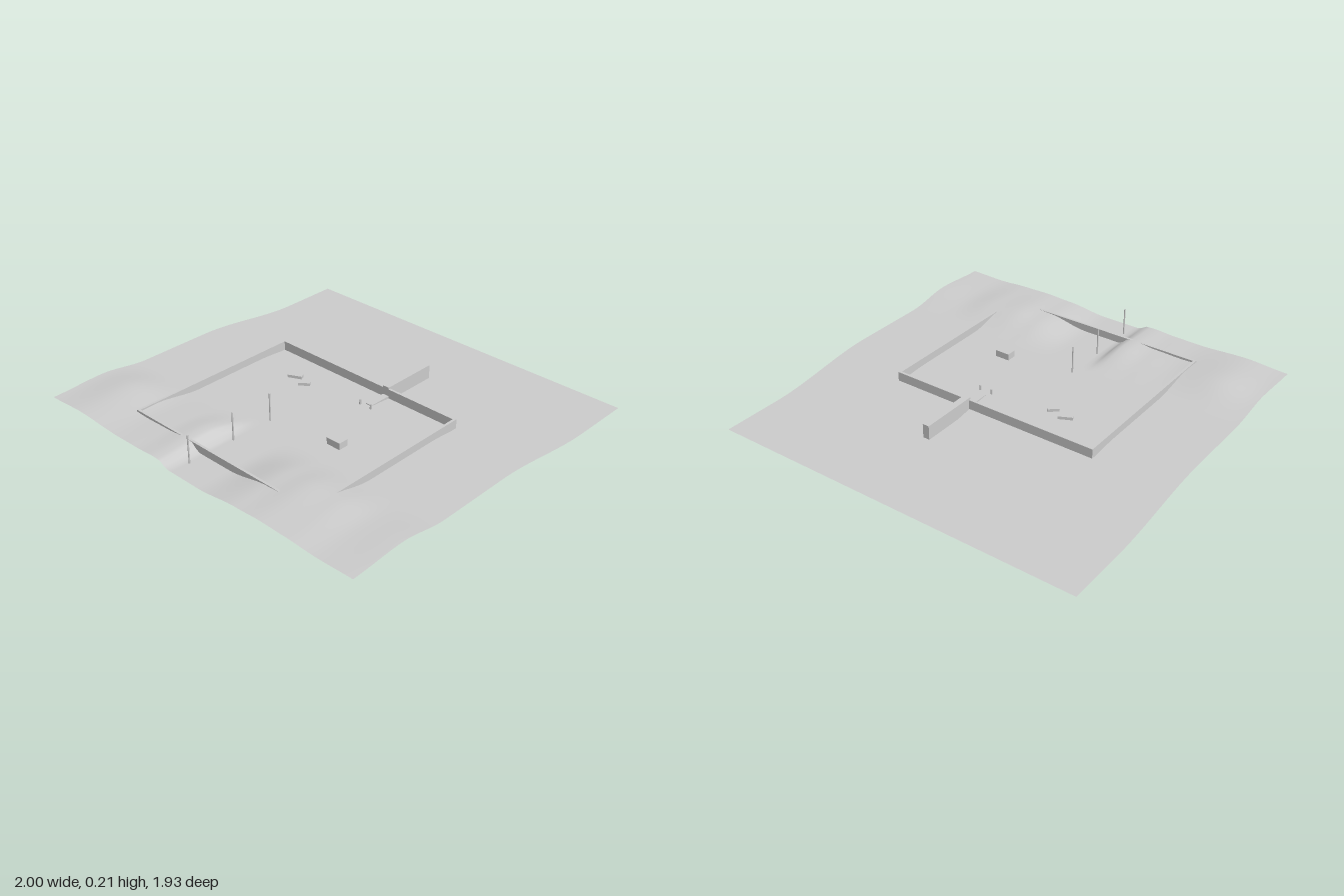
import * as THREE from 'three';

const GROUND = 0.06; // level of the plain
const material = new THREE.MeshStandardMaterial({ color: 0xcccccc, side: THREE.DoubleSide });
const smooth = THREE.MathUtils.smoothstep;

// Points [position, value] joined by smooth steps
function blend(points, t) {
  for (let i = 1; i < points.length; i++) {
    const [a, va] = points[i - 1], [b, vb] = points[i];
    if (t <= b) return va + (vb - va) * smooth(t, a, b);
  }
  return points[points.length - 1][1];
}

// Crest height of the dunes across the front, with a gap for the path
const crest = [[-1, 0.03], [-0.77, 0.05], [-0.5, 0.03], [-0.35, 0.034], [-0.22, 0.046], [-0.18, 0.042],
  [-0.13, 0], [0.08, 0], [0.33, 0.04], [0.47, 0.05], [0.62, 0.045], [0.8, 0.03], [1, 0.037]];
const duneDepth = [[0.4, 0], [0.68, 1], [0.97, 0.6]];

function groundHeight(x, z) {
  const plain = GROUND * smooth(z, -0.65, 0.0);
  return plain + (z > 0.4 ? blend(crest, x) * blend(duneDepth, z) : 0);
}

export function createModel() {
  const model = new THREE.Group();

  function add(name, geometry, x, y, z, turn = 0) {
    const mesh = new THREE.Mesh(geometry, material);
    mesh.name = name;
    mesh.position.set(x, y, z);
    mesh.rotation.y = turn;
    model.add(mesh);
  }
  // Box given by its limits
  function block(name, x0, x1, y0, y1, z0, z1) {
    add(name, new THREE.BoxGeometry(x1 - x0, y1 - y0, z1 - z0), (x0 + x1) / 2, (y0 + y1) / 2, (z0 + z1) / 2);
  }

  // Terrain: slope at the back, plain in the middle, dunes in front
  const terrain = new THREE.PlaneGeometry(2, 1.934, 80, 76).rotateX(-Math.PI / 2);
  const p = terrain.attributes.position;
  for (let i = 0; i < p.count; i++) p.setY(i, groundHeight(p.getX(i), p.getZ(i)));
  terrain.computeVertexNormals();
  add('terrain', terrain, 0, 0, 0);

  // Enclosing wall
  for (const s of [-1, 1]) {
    block('sideWall', s < 0 ? -0.58 : 0.567, s < 0 ? -0.567 : 0.58, 0.05, 0.1, -0.203, 0.78);
  }
  block('backWall', -0.567, 0.567, 0.05, 0.1, -0.203, -0.19);
  block('frontWall', -0.567, 0.567, 0.05, 0.1, 0.767, 0.78);

  // Jetty behind the wall and its low landing inside
  block('jetty', 0.13, 0.166, 0.035, 0.11, -0.505, -0.19);
  block('jettyLanding', 0.13, 0.166, 0.035, 0.062, -0.19, -0.065);
  for (const x of [0.113, 0.182]) {
    add('landingPost', new THREE.CylinderGeometry(0.005, 0.005, 0.03, 8), x, GROUND + 0.012, -0.042);
  }

  // Poles along the path
  for (const z of [0.365, 0.6, 0.865]) {
    add('pole', new THREE.CylinderGeometry(0.004, 0.004, 0.153, 8), -0.095, 0.1335, z);
  }

  // Crate and two loose boards
  block('crate', 0.24, 0.32, 0.06, 0.095, 0.27, 0.325);
  add('board', new THREE.BoxGeometry(0.075, 0.016, 0.025), -0.304, 0.067, -0.01, 0.45);
  add('board', new THREE.BoxGeometry(0.06, 0.016, 0.023), -0.218, 0.067, 0.013, 0.7);

  return model;
}
